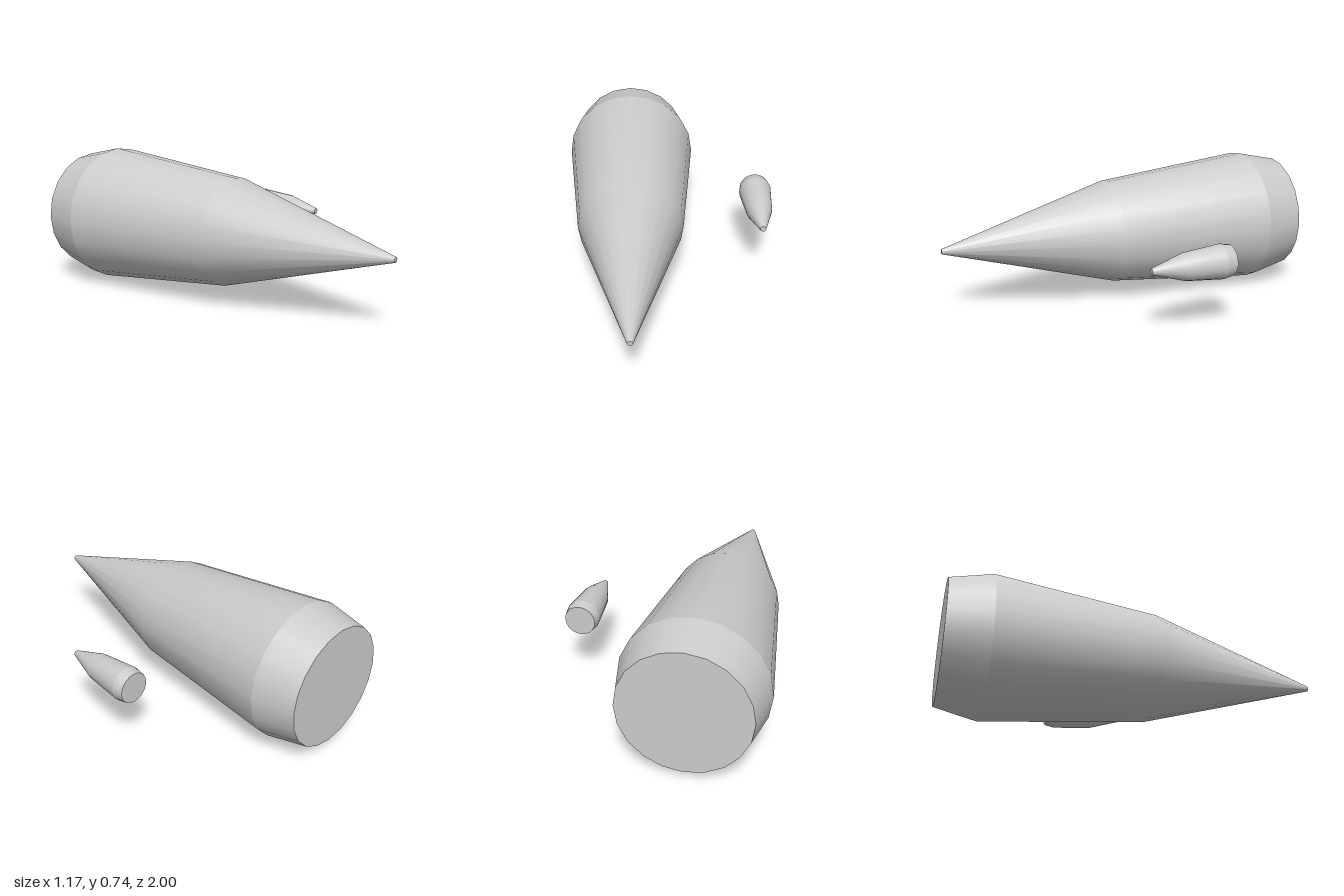
import * as THREE from 'three';
import { mergeGeometries } from 'three/addons/utils/BufferGeometryUtils.js';

const SIDES = 20;
const material = new THREE.MeshStandardMaterial({ color: 0xcccccc });

// Smooth surface of revolution along z; points are [radius, z] from back to front
function revolve(points) {
  const profile = points.map(([r, z]) => new THREE.Vector2(r, z));
  return new THREE.LatheGeometry(profile, SIDES).rotateX(Math.PI / 2);
}

// Pointed projectile: base, shoulder, ogive start and tip rings, with hard edges
// between the flat base, the tapered tail, the body with nose, and the blunt tip
function makeProjectile(name, base, shoulder, ogive, tip) {
  const geometry = mergeGeometries([
    revolve([[0, base[1]], base]),
    revolve([base, shoulder]),
    revolve([shoulder, ogive, tip]),
    revolve([tip, [0, tip[1]]]),
  ]);
  const mesh = new THREE.Mesh(geometry, material);
  mesh.name = name;
  return mesh;
}

export function createModel() {
  const group = new THREE.Group();
  group.name = 'projectiles';

  const large = makeProjectile('largeProjectile',
    [0.323, -1], [0.371, -0.78], [0.284, 0.07], [0.0135, 1]);
  large.position.set(-0.216, 0.372, 0);

  const small = makeProjectile('smallProjectile',
    [0.081, -0.325], [0.091, -0.27], [0.071, -0.06], [0.016, 0.115]);
  small.position.set(0.494, 0.372, 0);

  group.add(large, small);
  return group;
}
